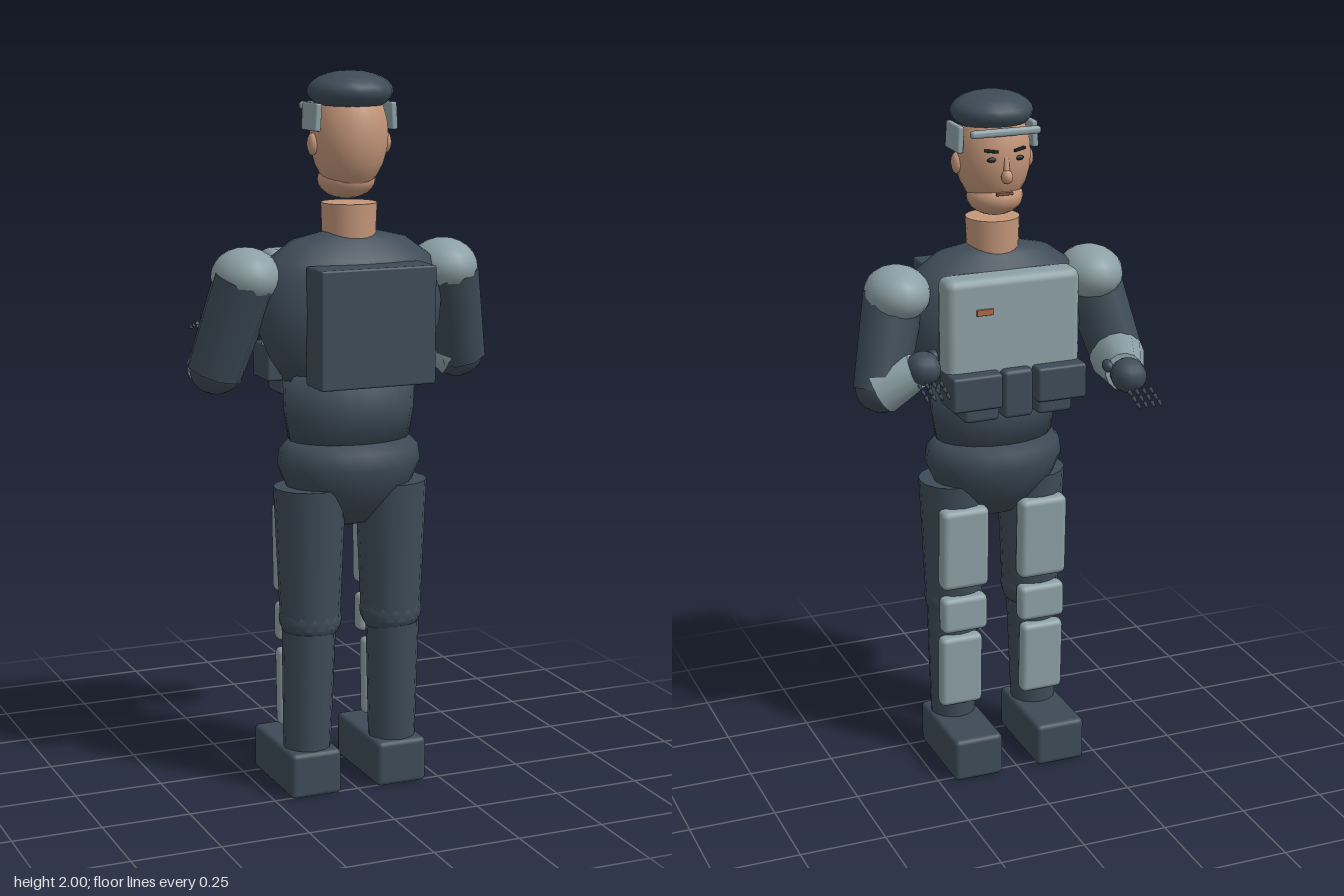
import * as THREE from 'three';
import { RoundedBoxGeometry } from 'three/addons/geometries/RoundedBoxGeometry.js';

const mat = (name, color) => {
  const m = new THREE.MeshStandardMaterial({ color });
  m.name = name;
  return m;
};

export function createModel() {
  const cloth = mat('dark slate', 0x3d4b57);
  const plate = mat('light armour', 0x8ca0a6);
  const skin = mat('skin', 0xc4967a);
  const ink = mat('eye black', 0x1d2329);
  const lips = mat('lip brown', 0x8f5a45);
  const rust = mat('badge rust', 0xb0683f);

  const model = new THREE.Group();
  model.name = 'armouredFigure';

  const add = (name, geo, material, x = 0, y = 0, z = 0) => {
    const m = new THREE.Mesh(geo, material);
    m.name = name;
    m.position.set(x, y, z);
    model.add(m);
    return m;
  };
  const box = (name, material, size, pos, r = 0.01) =>
    add(name, new RoundedBoxGeometry(...size, 2, r), material, ...pos);
  const ball = (name, material, radii, pos, seg = 16) =>
    add(name, new THREE.SphereGeometry(1, seg, 12).scale(...radii), material, ...pos);
  // Lathed body part with an elliptical cross-section
  const turned = (name, material, points, depth) =>
    add(name, new THREE.LatheGeometry(points.map(p => new THREE.Vector2(...p)), 20).scale(1, 1, depth),
      material, 0, 0, 0.18);
  // Tapered limb between two points
  const limb = (name, material, a, b, ra, rb, seg = 12) => {
    const A = new THREE.Vector3(...a), B = new THREE.Vector3(...b);
    const d = B.clone().sub(A);
    const m = add(name, new THREE.CylinderGeometry(rb, ra, d.length(), seg), material);
    m.position.copy(A).add(B).multiplyScalar(0.5);
    m.quaternion.setFromUnitVectors(new THREE.Vector3(0, 1, 0), d.normalize());
    return m;
  };

  // Torso
  turned('hips', cloth, [[0, 0.75], [0.07, 0.765], [0.13, 0.815], [0.18, 0.87], [0.206, 0.93],
    [0.2, 0.975], [0.168, 1.008], [0, 1.012]], 0.7);
  turned('waist', cloth, [[0, 0.98], [0.172, 0.99], [0.186, 1.08], [0.19, 1.19], [0, 1.2]], 0.7);
  turned('chest', cloth, [[0, 1.165], [0.19, 1.17], [0.235, 1.24], [0.265, 1.31], [0.27, 1.37],
    [0.262, 1.44], [0.235, 1.5], [0.165, 1.55], [0.08, 1.57], [0, 1.572]], 0.5);
  box('backpack', cloth, [0.332, 0.32, 0.11], [0, 1.332, 0.33], 0.006);
  box('chestPlate', plate, [0.4, 0.29, 0.09], [0, 1.37, 0.055], 0.025);
  box('badge', rust, [0.05, 0.018, 0.008], [0.09, 1.42, 0.008], 0.002);
  box('centrePouch', cloth, [0.088, 0.14, 0.1], [0, 1.18, 0.03], 0.012);

  // Head
  add('neck', new THREE.CylinderGeometry(0.077, 0.073, 0.1, 20), skin, 0, 1.597, 0.178);
  ball('head', skin, [0.107, 0.155, 0.106], [0, 1.828, 0.175], 24);
  ball('jaw', skin, [0.08, 0.053, 0.076], [0, 1.708, 0.16], 20);
  ball('nose', skin, [0.016, 0.02, 0.02], [0, 1.78, 0.068], 10);
  box('noseBridge', skin, [0.016, 0.06, 0.02], [0, 1.808, 0.074], 0.006).rotation.x = 0.2;
  box('mouth', lips, [0.05, 0.008, 0.009], [0, 1.728, 0.086], 0.002);
  ball('cap', cloth, [0.117, 0.056, 0.114], [0, 1.944, 0.183], 18);
  box('visorBar', plate, [0.206, 0.022, 0.022], [0, 1.902, 0.078], 0.009);
  for (const s of [-1, 1]) {
    ball('ear', skin, [0.014, 0.03, 0.022], [s * 0.107, 1.805, 0.178], 10);
    ball('eye', ink, [0.015, 0.007, 0.006], [s * 0.04, 1.828, 0.078], 10);
    const brow = box('brow', ink, [0.04, 0.008, 0.009], [s * 0.042, 1.852, 0.079], 0.002);
    brow.rotation.set(0, -s * 0.35, s * 0.1);
    box('earCover', plate, [0.018, 0.074, 0.1], [s * 0.11, 1.878, 0.18], 0.005).rotation.z = s * 0.06;
  }

  // Legs, feet, pads and pouches, mirrored
  for (const s of [-1, 1]) {
    limb('thigh', cloth, [s * 0.122, 0.875, 0.192], [s * 0.122, 0.48, 0.195], 0.1, 0.083, 16);
    ball('knee', cloth, [0.088, 0.075, 0.085], [s * 0.122, 0.5, 0.195], 14);
    limb('shin', cloth, [s * 0.127, 0.47, 0.197], [s * 0.13, 0.11, 0.19], 0.075, 0.066, 16);
    box('boot', cloth, [0.15, 0.13, 0.298], [s * 0.13, 0.065, 0.118], 0.014);
    box('thighPad', plate, [0.145, 0.25, 0.055], [s * 0.122, 0.685, 0.108], 0.018).rotation.x = -0.04;
    box('kneePad', plate, [0.14, 0.11, 0.05], [s * 0.122, 0.475, 0.115], 0.016);
    box('shinPad', plate, [0.13, 0.225, 0.045], [s * 0.129, 0.288, 0.128], 0.016).rotation.x = -0.04;
    box('sidePouch', cloth, [0.148, 0.1, 0.115], [s * 0.127, 1.2, 0.023], 0.008);
    box('lowerPouch', cloth, [0.105, 0.14, 0.1], [s * 0.11, 1.18, 0.03], 0.012);
  }

  // Arms: one reaches forward, the other is folded close to the chest
  const arms = [
    { s: -1, wrist: [-0.228, 1.278, -0.225], hand: [-0.225, 1.28, -0.255], tip: [-0.228, 1.245, -0.36] },
    { s: 1, wrist: [0.275, 1.26, 0.06], hand: [0.262, 1.27, 0.04], tip: [0.262, 1.228, -0.05] },
  ];
  for (const { s, wrist, hand, tip } of arms) {
    const elbow = [s * 0.36, 1.21, 0.11];
    ball('shoulderPad', plate, [0.092, 0.078, 0.108], [s * 0.293, 1.458, 0.16], 20);
    limb('upperArm', cloth, [s * 0.3, 1.45, 0.175], [s * 0.367, 1.195, 0.11], 0.088, 0.078, 9);
    ball('elbow', cloth, [0.078, 0.076, 0.076], elbow, 10);
    limb('forearm', plate, elbow, wrist, 0.08, 0.053, 14);
    ball('hand', cloth, [0.05, 0.048, 0.055], hand, 10);
    ball('thumb', cloth, [0.014, 0.018, 0.024], [hand[0] - s * 0.044, hand[1] + 0.02, hand[2] + 0.04], 8);
    // Small separate finger joints in four rows
    for (let f = 0; f < 4; f++)
      for (let j = 0; j < 3; j++) {
        const x = tip[0] + (f - 1.5) * 0.021, k = (j - 1) * 0.026;
        limb('fingerJoint', cloth, [x, tip[1] + k * 0.35 + 0.004, tip[2] + k + 0.01],
          [x, tip[1] + k * 0.35 - 0.003, tip[2] + k - 0.01], 0.006, 0.003, 6);
      }
  }
  return model;
}
